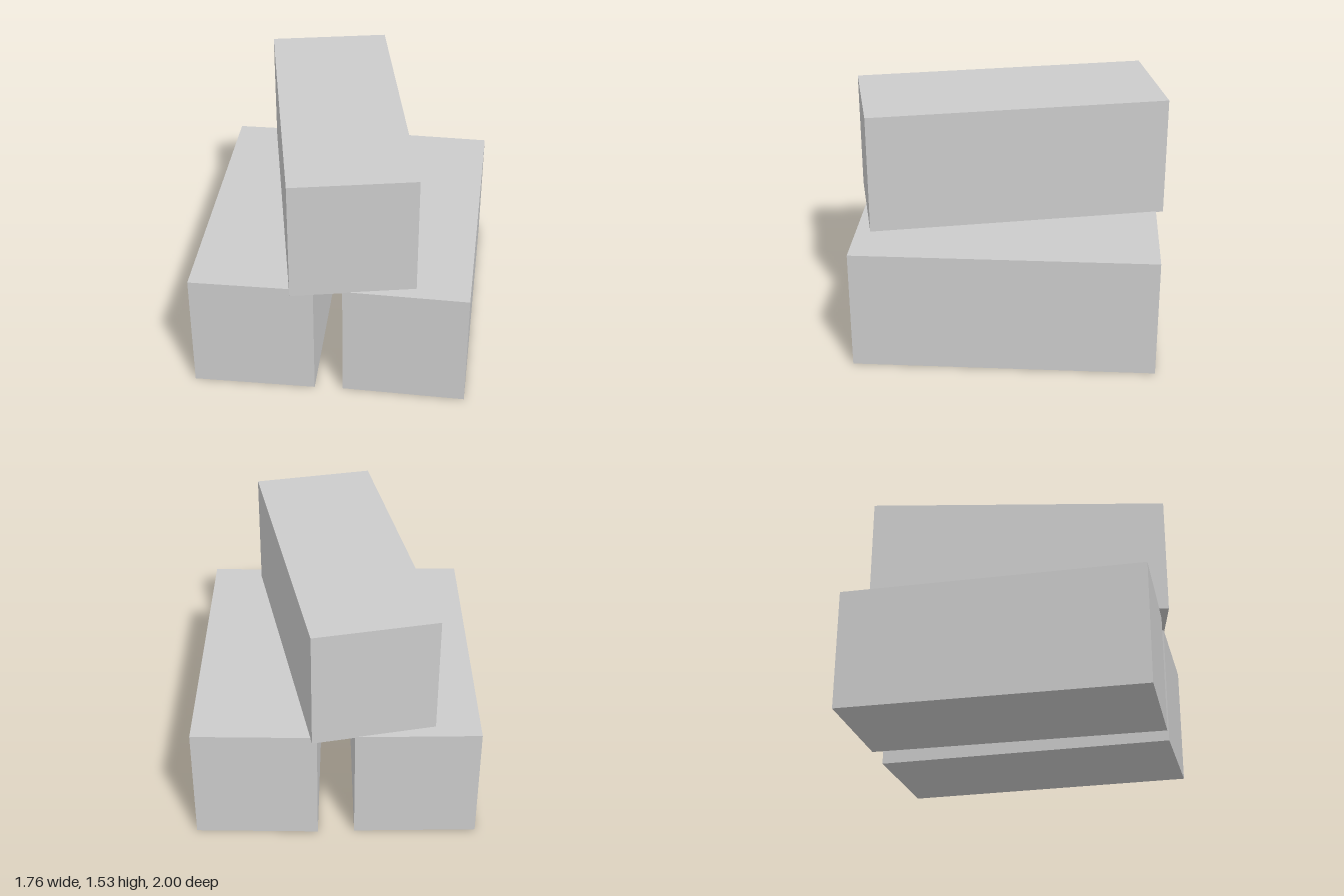
import * as THREE from 'three';

export function createModel() {
  const model = new THREE.Group();
  const material = new THREE.MeshStandardMaterial({ color: 0xcccccc, flatShading: true });
  // One block shape shared by the whole stack
  const block = new THREE.BoxGeometry(0.766, 0.767, 1.89);

  function addBlock(name, x, y, z, turn) {
    const mesh = new THREE.Mesh(block, material);
    mesh.name = name;
    mesh.position.set(x, y, z);
    mesh.rotation.y = turn;
    model.add(mesh);
  }

  // Two blocks on the ground, the second slightly turned
  addBlock('lowerRightBlock', -0.498, 0.3835, -0.005, 0);
  addBlock('lowerLeftBlock', 0.471, 0.3835, 0, -0.028);
  // Block laid across them at an angle
  addBlock('upperBlock', -0.052, 1.146, 0, 0.191);

  return model;
}
